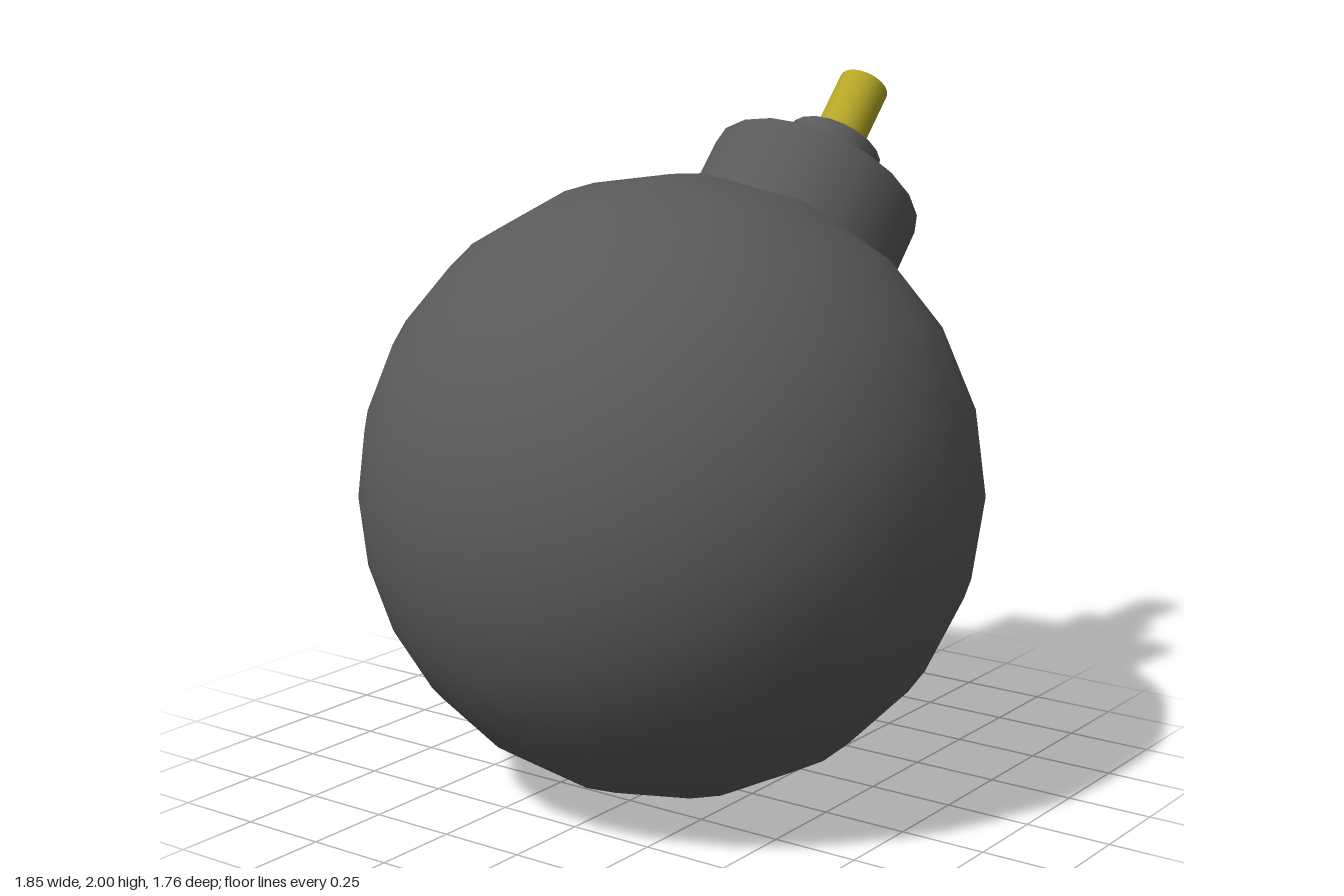
import * as THREE from 'three';

export function createModel() {
  const group = new THREE.Group();
  const iron = new THREE.MeshStandardMaterial({ name: 'dark iron', color: 0x5a5a5a });
  const brass = new THREE.MeshStandardMaterial({ name: 'yellow fuse', color: 0xb5a626 });

  // round body, poles along x
  const body = new THREE.Mesh(new THREE.SphereGeometry(0.88, 20, 20).rotateZ(Math.PI / 2), iron);
  body.name = 'body';
  body.position.set(-0.045, 0.885, 0);
  group.add(body);

  // stacked neck, tilted; y = 0 is the top face of the collar
  const neck = new THREE.Group();
  neck.name = 'neck';
  neck.position.set(0.605, 1.67, 0.048);
  neck.rotation.z = -0.752;
  group.add(neck);

  const addCylinder = (name, radius, bottom, top, material) => {
    const mesh = new THREE.Mesh(new THREE.CylinderGeometry(radius, radius, top - bottom, 20), material);
    mesh.name = name;
    mesh.position.y = (top + bottom) / 2;
    neck.add(mesh);
  };
  addCylinder('collar', 0.322, -0.27, 0, iron);
  addCylinder('fuseHolder', 0.146, -0.05, 0.15, iron);
  addCylinder('fuse', 0.076, 0.1, 0.384, brass);

  return group;
}
